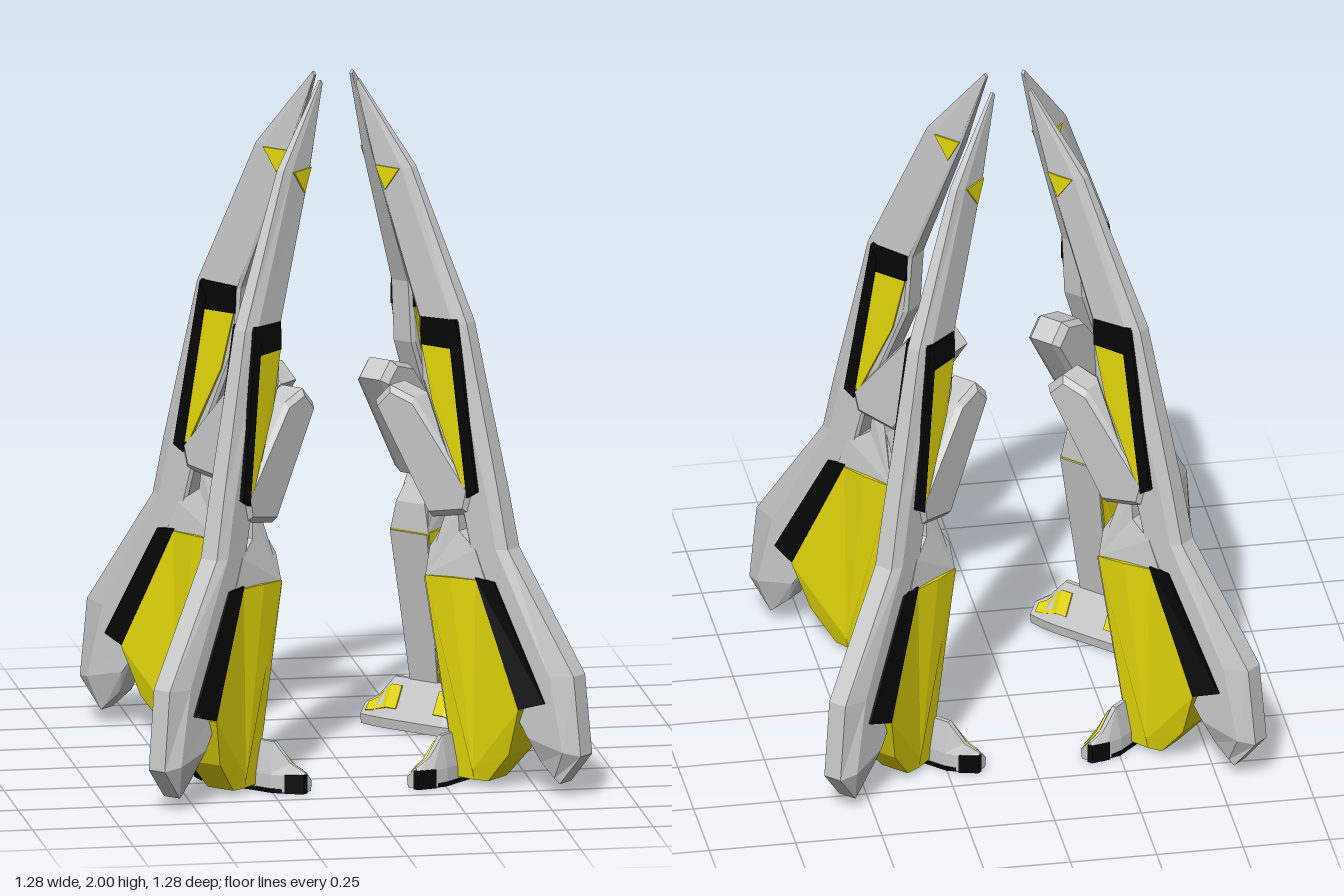
import * as THREE from 'three';

const material = (name, color) => {
  const m = new THREE.MeshStandardMaterial({ color });
  m.name = name;
  return m;
};

// Joins rings of [radius, height, side] points into a capped, faceted solid
function loft(rings) {
  const tris = [];
  const n = rings[0].length;
  for (let i = 0; i < rings.length - 1; i++) {
    for (let j = 0; j < n; j++) {
      const k = (j + 1) % n;
      const a = rings[i][j], b = rings[i][k], c = rings[i + 1][k], d = rings[i + 1][j];
      tris.push([a, b, c], [a, c, d]);
    }
  }
  const first = rings[0], last = rings[rings.length - 1];
  for (let j = 1; j < n - 1; j++) {
    tris.push([first[0], first[j + 1], first[j]], [last[0], last[j], last[j + 1]]);
  }
  // Turn the solid outward if its signed volume is negative
  let volume = 0;
  for (const [a, b, c] of tris) {
    volume += new THREE.Vector3(...a).dot(new THREE.Vector3(...b).cross(new THREE.Vector3(...c)));
  }
  if (volume < 0) tris.forEach((t) => t.reverse());
  const geometry = new THREE.BufferGeometry();
  geometry.setAttribute('position', new THREE.Float32BufferAttribute(tris.flat(2), 3));
  geometry.computeVertexNormals();
  return geometry;
}

// Side outline whose points [radius, height, half thickness] are mirrored across the blade
const slab = (points) => loft([
  points.map(([r, y, t]) => [r, y, -t]),
  points.map(([r, y, t]) => [r, y, t]),
]);

// Eight-sided blade section: narrow outer spine, broad flat inner edge
function bladeRing([ro, yo, ri, yi, s, T]) {
  const at = (f, t) => [ro + (ri - ro) * f, yo + (yi - yo) * f, t];
  const e = T * 0.8;
  return [at(0, s), at(0.25, T), at(0.94, T), at(1, e), at(1, -e), at(0.94, -T), at(0.25, -T), at(0, -s)];
}

// Foot section at side position t: inner radius, outer radius and top height
const footRing = (t, ri, ro, h) => [
  [ri + 0.004, 0.006, t], [ri, 0.035, t], [ri + (ro - ri) * 0.65, h, t],
  [ri + (ro - ri) * 0.8, h, t], [ro, 0.055, t], [ro, 0.006, t],
];

// Thin strip lying on the inner slope of the foot
function stripRing(t, ri, ro, h) {
  const at = (f, o) => [ri + (ro - ri) * 0.65 * f - o, 0.035 + (h - 0.035) * f + o * 0.6, t];
  return [at(0.25, 0.004), at(0.8, 0.004), at(0.8, -0.003), at(0.25, -0.003)];
}

// Black edge section around the outer lower half of the foot
const trimRing = (t, ro, h) => [[0.41, 0.003, t], [0.41, h, t], [ro, h, t], [ro, 0.003, t]];

export function createModel() {
  const grey = material('grey metal', 0xc8c8c8);
  const yellow = material('yellow panel', 0xe2d60a);
  const black = material('black trim', 0x060606);

  const parts = [];
  const add = (name, geometry, mat) => parts.push([name, geometry, mat]);

  // Curved blade from the tip to the tail: outer r, y, inner r, y, spine and side half thickness
  add('bladeBody', loft([
    [0.08, 2.0, 0.072, 1.99, 0.004, 0.005],
    [0.272, 1.77, 0.152, 1.75, 0.012, 0.02],
    [0.472, 1.34, 0.312, 1.34, 0.02, 0.036],
    [0.51, 1.18, 0.325, 1.16, 0.022, 0.038],
    [0.585, 0.87, 0.455, 0.85, 0.026, 0.042],
    [0.622, 0.7, 0.495, 0.7, 0.028, 0.044],
    [0.852, 0.36, 0.57, 0.34, 0.028, 0.05],
    [0.877, 0.13, 0.7, 0.17, 0.028, 0.055],
    [0.803, 0.04, 0.735, 0.1, 0.028, 0.03],
  ].map(bladeRing)), grey);

  // Small marker below the tip
  add('tipMarker', slab([[0.153, 1.762, 0.024], [0.238, 1.762, 0.025], [0.19, 1.695, 0.028]]), yellow);

  // Upper panel with its black frame, swelling downward
  add('upperPanel', slab([
    [0.328, 1.27, 0.042], [0.44, 1.27, 0.042], [0.505, 0.87, 0.054], [0.48, 0.87, 0.054],
    [0.37, 1.1, 0.046],
  ]), yellow);
  add('upperFrameTop', slab([
    [0.323, 1.345, 0.039], [0.446, 1.35, 0.039], [0.44, 1.265, 0.043], [0.326, 1.265, 0.043],
  ]), black);
  add('upperFrameSide', slab([
    [0.425, 1.3, 0.044], [0.449, 1.345, 0.04], [0.53, 0.86, 0.057], [0.497, 0.84, 0.057],
  ]), black);

  // Angled pod along the inner edge
  const podRing = (t, pinch) => [
    [0.165, 1.08], [0.215, 1.13], [0.3, 1.105], [0.51, 0.85], [0.495, 0.79], [0.365, 0.765],
  ].map(([r, y]) => [r + (0.345 - r) * pinch, y + (0.95 - y) * pinch, t]);
  add('pod', loft([podRing(-0.054, 0.1), podRing(-0.036, 0), podRing(0.036, 0), podRing(0.054, 0.1)]), grey);

  // Neck between pod, blade and lower leg
  add('neck', slab([
    [0.36, 0.6, 0.066], [0.364, 0.68, 0.05], [0.398, 0.745, 0.034], [0.412, 0.8, 0.03],
    [0.45, 0.8, 0.03], [0.455, 0.735, 0.034], [0.52, 0.69, 0.045], [0.56, 0.6, 0.05],
  ]), grey);

  // Lower leg: bevelled inner half, flared side, sloping black band and grey inner face
  add('legBevel', slab([
    [0.36, 0.6, 0.069], [0.45, 0.605, 0.07], [0.52, 0.05, 0.058], [0.52, 0.02, 0.052], [0.455, 0.02, 0.048],
  ]), yellow);
  add('legSide', slab([
    [0.52, 0.05, 0.058], [0.45, 0.605, 0.07], [0.53, 0.605, 0.056], [0.695, 0.25, 0.08],
    [0.645, 0.11, 0.056], [0.565, 0.02, 0.045], [0.52, 0.02, 0.052],
  ]), yellow);
  add('legBand', slab([
    [0.528, 0.612, 0.058], [0.59, 0.605, 0.052], [0.77, 0.275, 0.058], [0.694, 0.252, 0.079],
  ]), black);
  add('legInnerFace', slab([
    [0.354, 0.595, 0.065], [0.37, 0.595, 0.065], [0.465, 0.03, 0.044], [0.448, 0.03, 0.044],
  ]), grey);

  // Crosswise foot tapering to both ends: t, inner r, outer r, top height
  const footHalf = [[0.1, 0.37, 0.462, 0.148], [0.15, 0.375, 0.449, 0.09], [0.19, 0.384, 0.424, 0.064]];
  const mirrored = footHalf.map(([t, ...rest]) => [-t, ...rest]).reverse();
  add('foot', loft([...mirrored, ...footHalf].map((s) => footRing(...s))), grey);
  add('sole', loft([
    trimRing(-0.19, 0.426, 0.015), trimRing(-0.11, 0.465, 0.015),
    trimRing(0.11, 0.465, 0.015), trimRing(0.19, 0.426, 0.015),
  ]), black);
  for (const side of [-1, 1]) {
    add('footCap', loft([trimRing(side * 0.145, 0.455, 0.058), trimRing(side * 0.193, 0.426, 0.058)]), black);
    add('footStrip', loft([
      stripRing(side * 0.065, 0.37, 0.462, 0.148), stripRing(side * 0.1, 0.37, 0.462, 0.148),
      stripRing(side * 0.15, 0.375, 0.449, 0.09), stripRing(side * 0.174, 0.38, 0.434, 0.074),
    ]), yellow);
  }

  // Four equal blades around the vertical axis
  const model = new THREE.Group();
  model.name = 'fourBladeFrame';
  ['frontLeftBlade', 'backLeftBlade', 'backRightBlade', 'frontRightBlade'].forEach((name, i) => {
    const blade = new THREE.Group();
    blade.name = name;
    blade.rotation.y = -Math.PI / 4 + i * Math.PI / 2;
    for (const [part, geometry, mat] of parts) {
      const mesh = new THREE.Mesh(geometry, mat);
      mesh.name = part;
      blade.add(mesh);
    }
    model.add(blade);
  });
  return model;
}
